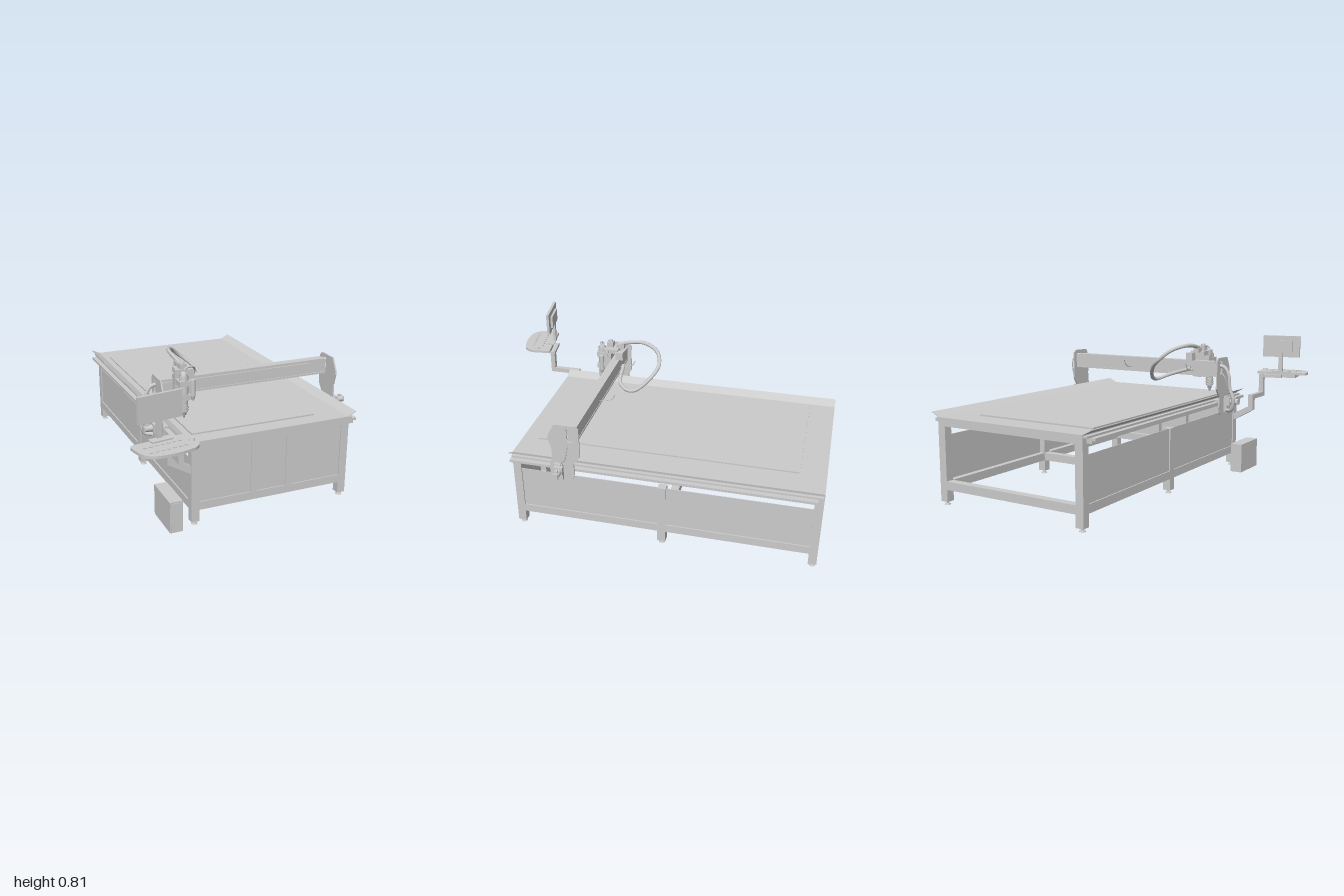
import * as THREE from 'three';

const grey = new THREE.MeshStandardMaterial({ color: 0xcccccc });
const thin = new THREE.MeshStandardMaterial({ color: 0xcccccc, side: THREE.DoubleSide });

export function createModel() {
  const model = new THREE.Group();
  let parent = model;

  const section = (name) => {
    parent = new THREE.Group();
    parent.name = name;
    model.add(parent);
  };
  const add = (name, geometry, material = grey) => {
    const mesh = new THREE.Mesh(geometry, material);
    mesh.name = name;
    parent.add(mesh);
    return mesh;
  };
  // box given by its limits along each axis
  const box = (name, x0, x1, y0, y1, z0, z1) => {
    const m = add(name, new THREE.BoxGeometry(x1 - x0, y1 - y0, z1 - z0));
    m.position.set((x0 + x1) / 2, (y0 + y1) / 2, (z0 + z1) / 2);
    return m;
  };
  const cyl = (name, r0, r1, h, x, y, z) => {
    const m = add(name, new THREE.CylinderGeometry(r0, r1, h, 20));
    m.position.set(x, y, z);
    return m;
  };
  const tube = (name, r, points) => {
    const curve = new THREE.CatmullRomCurve3(points.map((p) => new THREE.Vector3(...p)));
    return add(name, new THREE.TubeGeometry(curve, 56, r, 8), thin);
  };
  const vectors = (pts) => pts.map((p) => new THREE.Vector2(...p));
  const outline = (pts) => new THREE.Shape(vectors(pts));
  const extrude = (shape, depth) => new THREE.ExtrudeGeometry(shape, { depth, bevelEnabled: false });

  const L = -0.345, R = 0.567, F = 0.655, B = -1, T = 0.045;

  // Base frame: corner legs, short middle legs and levelling feet
  section('baseFrame');
  for (const [z0, top] of [[F - T, 0.42], [-0.19, 0.365], [B, 0.42]]) {
    for (const x0 of [L, R - T]) {
      box('leg', x0, x0 + T, 0.02, top, z0, z0 + T);
      cyl('footStem', 0.007, 0.007, 0.02, x0 + T / 2, 0.014, z0 + T / 2);
      cyl('foot', 0.013, 0.017, 0.008, x0 + T / 2, 0.004, z0 + T / 2);
    }
    box('lowerCrossBeam', L + T, R - T, 0.085, 0.13, z0, z0 + T);
  }
  for (const z0 of [F - T, B]) box('upperCrossBeam', L, R, 0.42, 0.46, z0, z0 + T);
  for (const x0 of [L, R - T]) {
    box('lowerSideBeam', x0, x0 + T, 0.085, 0.13, B + T, F - T);
    box('upperSideBeam', x0, x0 + T, 0.42, 0.46, B, F);
  }
  for (const x0 of [-0.01, 0.193]) box('frontPost', x0, x0 + 0.038, 0.13, 0.42, F - T, F - 0.001);

  // Sheet panels set slightly into the frame
  section('panels');
  box('frontPanel', L + T, R - T, 0.12, 0.43, F - 0.011, F - 0.006);
  box('sidePanelRight', L + 0.007, L + 0.011, 0.12, 0.365, B + T, F - T);
  box('sidePanelLeft', R - 0.011, R - 0.007, 0.12, 0.365, B + T, F - T);

  // Work table with its plate, projecting guide rails and tilted dust covers
  section('table');
  box('tableTop', L, R, 0.455, 0.465, B, F);
  box('workPlate', -0.305, 0.405, 0.465, 0.473, -0.86, 0.565);
  for (const [edge, s] of [[L, -1], [R, 1]]) {
    const span = (a, b) => [edge + s * a, edge + s * b].sort((p, q) => p - q);
    box('guideRail', ...span(0, 0.049), 0.436, 0.45, B + 0.03, F - 0.005);
    box('railSupport', ...span(0, 0.022), 0.45, 0.46, B + 0.005, F - 0.005);
    box('rackStrip', ...span(0, 0.03), 0.422, 0.436, B + 0.03, F - 0.005);
    const cover = outline([[-0.007, 0.461], [0.043, 0.487], [0.043, 0.49], [-0.007, 0.465]]
      .map(([x, y]) => [edge + s * x, y]));
    add('dustCover', extrude(cover, F - B), thin).position.z = B;
  }

  // Gantry: beam with linear rails, carried by two contoured side plates
  section('gantry');
  box('beam', -0.395, 0.615, 0.61, 0.685, 0.275, 0.317);
  box('beamTopCover', -0.375, 0.6, 0.682, 0.69, 0.272, 0.32);
  box('upperRail', -0.375, 0.51, 0.666, 0.674, 0.317, 0.324);
  box('lowerRail', -0.39, 0.61, 0.602, 0.612, 0.272, 0.322);
  const plate = outline([[0.252, 0.53], [0.288, 0.48], [0.285, 0.42], [0.295, 0.385], [0.305, 0.376], [0.4, 0.376],
    [0.418, 0.392], [0.42, 0.46], [0.405, 0.51], [0.403, 0.56], [0.42, 0.62], [0.418, 0.645], [0.385, 0.71],
    [0.27, 0.712], [0.252, 0.695]]);
  plate.holes.push(new THREE.Path(vectors([[0.287, 0.615], [0.318, 0.615], [0.318, 0.69], [0.287, 0.69]])));
  for (const s of [-1, 1]) {
    const cx = s < 0 ? -0.4 : 0.62; // plate position
    const out = (a, b) => [cx + s * a, cx + s * b].sort((p, q) => p - q);
    const side = add('sidePlate', extrude(plate, 0.008));
    side.rotation.y = -Math.PI / 2; // outline z becomes world z
    side.position.x = cx + 0.004;
    box('railSlider', ...out(-0.035, -0.004), 0.434, 0.462, 0.3, 0.4);
    box('motorBracket', ...out(0.004, 0.022), 0.385, 0.48, 0.345, 0.393);
    box('gearbox', ...out(0.022, 0.045), 0.428, 0.475, 0.338, 0.385);
    const motor = cyl('motor', 0.018, 0.018, 0.05, cx + s * 0.065, 0.45, 0.36);
    motor.rotation.z = Math.PI / 2;
    box('motorCap', ...out(0.085, 0.094), 0.435, 0.465, 0.345, 0.375);
    box('motorPlug', ...out(0.065, 0.08), 0.464, 0.476, 0.352, 0.368);
  }
  for (const x of [-0.235, 0.19]) {
    tube('cableHook', 0.0025, [[x, 0.63, 0.275], [x, 0.635, 0.23], [x, 0.65, 0.2], [x, 0.675, 0.185]]);
  }

  // Tool head: carriage, vertical slide, stepped spindle and drive motor
  section('toolHead');
  box('carriage', -0.315, -0.205, 0.59, 0.72, 0.324, 0.342);
  box('slideBlock', -0.25, -0.207, 0.585, 0.735, 0.342, 0.365);
  box('slidePlate', -0.315, -0.25, 0.6, 0.75, 0.342, 0.365);
  box('slideTop', -0.3, -0.215, 0.72, 0.745, 0.285, 0.365);
  box('liftMotor', -0.285, -0.247, 0.745, 0.775, 0.322, 0.36);
  cyl('liftMotorCap', 0.012, 0.014, 0.01, -0.266, 0.78, 0.341);
  box('rearMotor', -0.24, -0.2, 0.69, 0.735, 0.25, 0.295);
  box('carrierBracket', -0.28, -0.245, 0.74, 0.768, 0.255, 0.3);
  for (const y of [0.6, 0.675]) box('spindleClamp', -0.312, -0.25, y, y + 0.028, 0.365, 0.425);
  const spindle = add('spindle', new THREE.LatheGeometry(
    vectors([[0, 0.5], [0.006, 0.5], [0.006, 0.512], [0.012, 0.514], [0.012, 0.528], [0.021, 0.532], [0.021, 0.59],
      [0.024, 0.594], [0.024, 0.725], [0.014, 0.73], [0.014, 0.75], [0, 0.75]]), 20));
  spindle.position.set(-0.281, 0, 0.4);
  for (const y of [0.542, 0.556, 0.57]) cyl('coolingRing', 0.025, 0.025, 0.006, -0.281, y, 0.4);
  cyl('sideSpindle', 0.013, 0.013, 0.09, -0.225, 0.65, 0.388);
  cyl('sideSpindleTip', 0.013, 0.005, 0.025, -0.225, 0.593, 0.388);
  tube('spindleHose', 0.005, [[-0.281, 0.745, 0.4], [-0.27, 0.765, 0.4], [-0.23, 0.765, 0.385], [-0.2, 0.74, 0.35], [-0.195, 0.7, 0.325]]);

  // Looping cable carrier and the side cables
  section('cables');
  tube('cableCarrier', 0.011, [[-0.262, 0.765, 0.29], [-0.268, 0.777, 0.24], [-0.264, 0.788, 0.135], [-0.215, 0.765, 0.045],
    [-0.155, 0.715, 0.018], [-0.095, 0.665, 0.045], [-0.045, 0.59, 0.13], [-0.048, 0.58, 0.18], [-0.09, 0.6, 0.235], [-0.23, 0.645, 0.255]]);
  tube('rightHose', 0.011, [[-0.4, 0.665, 0.3], [-0.43, 0.655, 0.3], [-0.455, 0.61, 0.3], [-0.462, 0.54, 0.3], [-0.485, 0.47, 0.3], [-0.47, 0.41, 0.31], [-0.43, 0.4, 0.33]]);
  tube('rightCable', 0.003, [[-0.4, 0.63, 0.3], [-0.43, 0.6, 0.3], [-0.44, 0.53, 0.32], [-0.47, 0.475, 0.36]]);
  tube('leftCable', 0.003, [[0.62, 0.67, 0.3], [0.655, 0.66, 0.3], [0.667, 0.62, 0.3], [0.665, 0.53, 0.32], [0.645, 0.49, 0.35], [0.65, 0.455, 0.36]]);

  // Bent support arm for the console
  section('consoleArm');
  const brace = outline([[L, 0.335], [L, 0.293], [-0.47, 0.365], [-0.47, 0.46], [-0.44, 0.46], [-0.44, 0.385]]);
  add('brace', extrude(brace, 0.035)).position.z = 0.615;
  box('forwardArm', -0.47, -0.442, 0.433, 0.46, 0.62, 0.8);
  box('uprightArm', -0.47, -0.442, 0.433, 0.572, 0.773, 0.8);
  box('trayArm', -0.58, -0.442, 0.553, 0.57, 0.78, 0.805).rotation.y = 0.15;

  // Rounded console tray with buttons, and a monitor on a post
  section('console');
  const rim = new THREE.Shape();
  rim.moveTo(-0.42, -0.797);
  rim.lineTo(-0.7, -0.836);
  rim.quadraticCurveTo(-0.722, -0.842, -0.72, -0.865);
  rim.quadraticCurveTo(-0.71, -0.94, -0.69, -0.965);
  rim.quadraticCurveTo(-0.665, -0.995, -0.62, -0.997);
  rim.quadraticCurveTo(-0.53, -1, -0.45, -0.97);
  rim.quadraticCurveTo(-0.4, -0.94, -0.411, -0.87);
  const tray = add('tray', extrude(rim, 0.014));
  tray.rotation.x = -Math.PI / 2;
  tray.position.y = 0.572;
  const desk = new THREE.Group();
  desk.name = 'deskParts';
  desk.position.set(-0.562, 0.572, 0.855);
  desk.rotation.y = 0.15;
  parent.add(desk);
  parent = desk;
  box('trayBase', -0.09, 0.08, -0.02, 0, -0.03, 0.09);
  box('monitorFoot', -0.055, 0.055, 0.014, 0.021, -0.048, -0.005);
  box('monitorPost', -0.013, 0.013, 0.02, 0.2, -0.052, -0.035);
  box('monitor', -0.115, 0.115, 0.11, 0.242, -0.038, -0.022);
  box('monitorBack', -0.07, 0.07, 0.14, 0.212, -0.052, -0.038);
  for (let row = 0; row < 2; row++) {
    for (let i = 0; i < 7; i++) {
      const x = -0.115 + i * 0.03, z = 0.02 + row * 0.06;
      box('button', x, x + 0.014, 0.014, 0.018, z, z + 0.01);
    }
  }
  cyl('controlKnob', 0.012, 0.016, 0.012, 0.12, 0.02, 0.05);

  // Control cabinet beside the front right leg
  section('controlCabinet');
  box('cabinet', -0.475, -0.405, 0.003, 0.175, 0.458, 0.688);
  box('cabinetDoor', -0.47, -0.41, 0.012, 0.166, 0.688, 0.691);

  return model;
}
